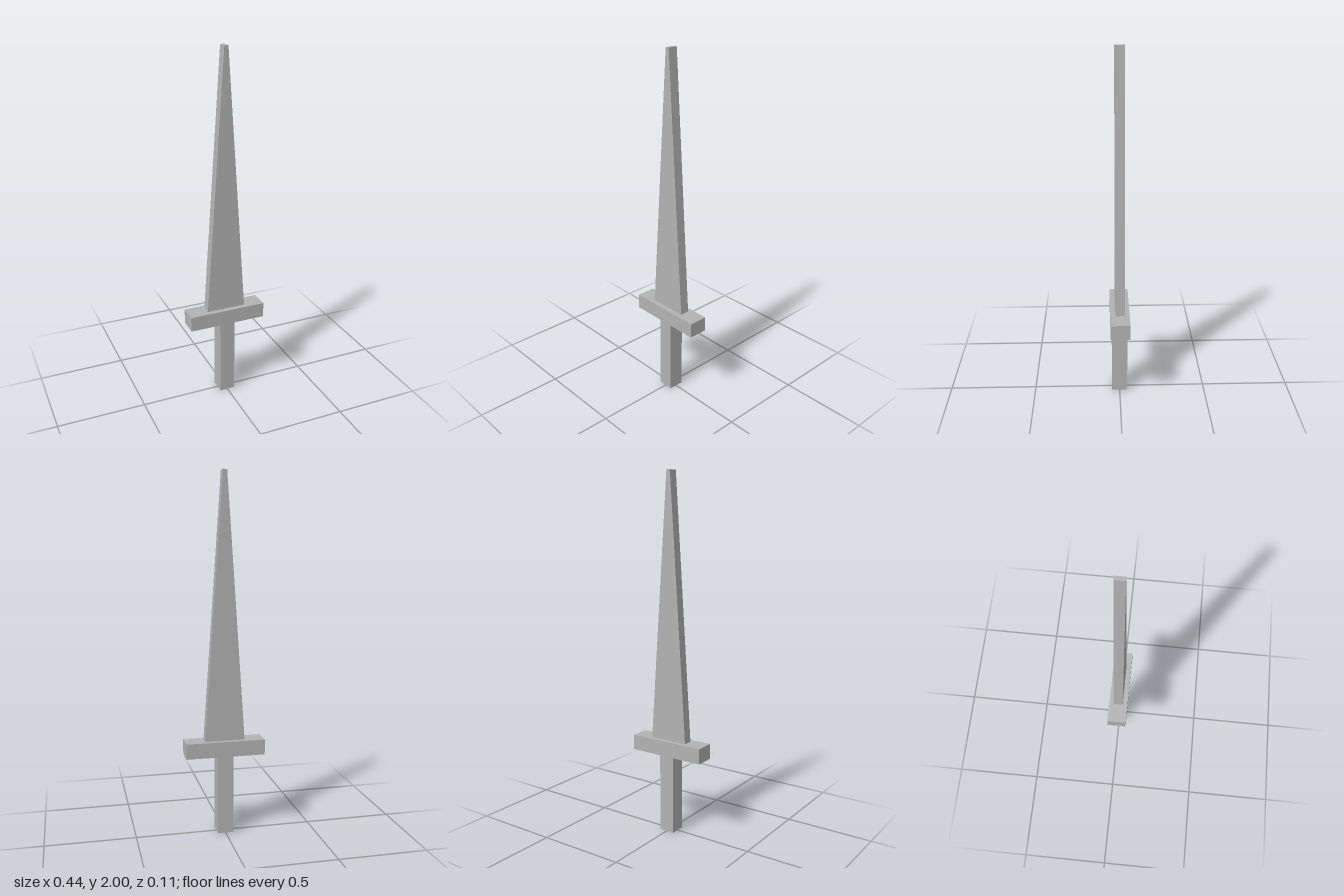
import * as THREE from 'three';

export function createModel() {
  const model = new THREE.Group();
  model.name = 'sword';
  const steel = new THREE.MeshStandardMaterial({ color: 0xb3b3b3 });
  steel.name = 'grey steel';

  const add = (name, geometry, y, z = 0) => {
    const mesh = new THREE.Mesh(geometry, steel);
    mesh.name = name;
    mesh.position.set(0, y, z);
    model.add(mesh);
  };

  // Square grip and crossguard
  add('grip', new THREE.BoxGeometry(0.089, 0.45, 0.089), 0.225);
  add('crossguard', new THREE.BoxGeometry(0.444, 0.086, 0.109), 0.492);

  // Flat blade tapering to a narrow blunt tip
  const base = 0.112, tip = 0.011, depth = 0.054;
  const outline = new THREE.Shape([
    new THREE.Vector2(-base, 0),
    new THREE.Vector2(base, 0),
    new THREE.Vector2(tip, 1.465),
    new THREE.Vector2(-tip, 1.465),
  ]);
  const blade = new THREE.ExtrudeGeometry(outline, { depth, bevelEnabled: false });
  add('blade', blade, 0.535, -0.028);

  return model;
}
